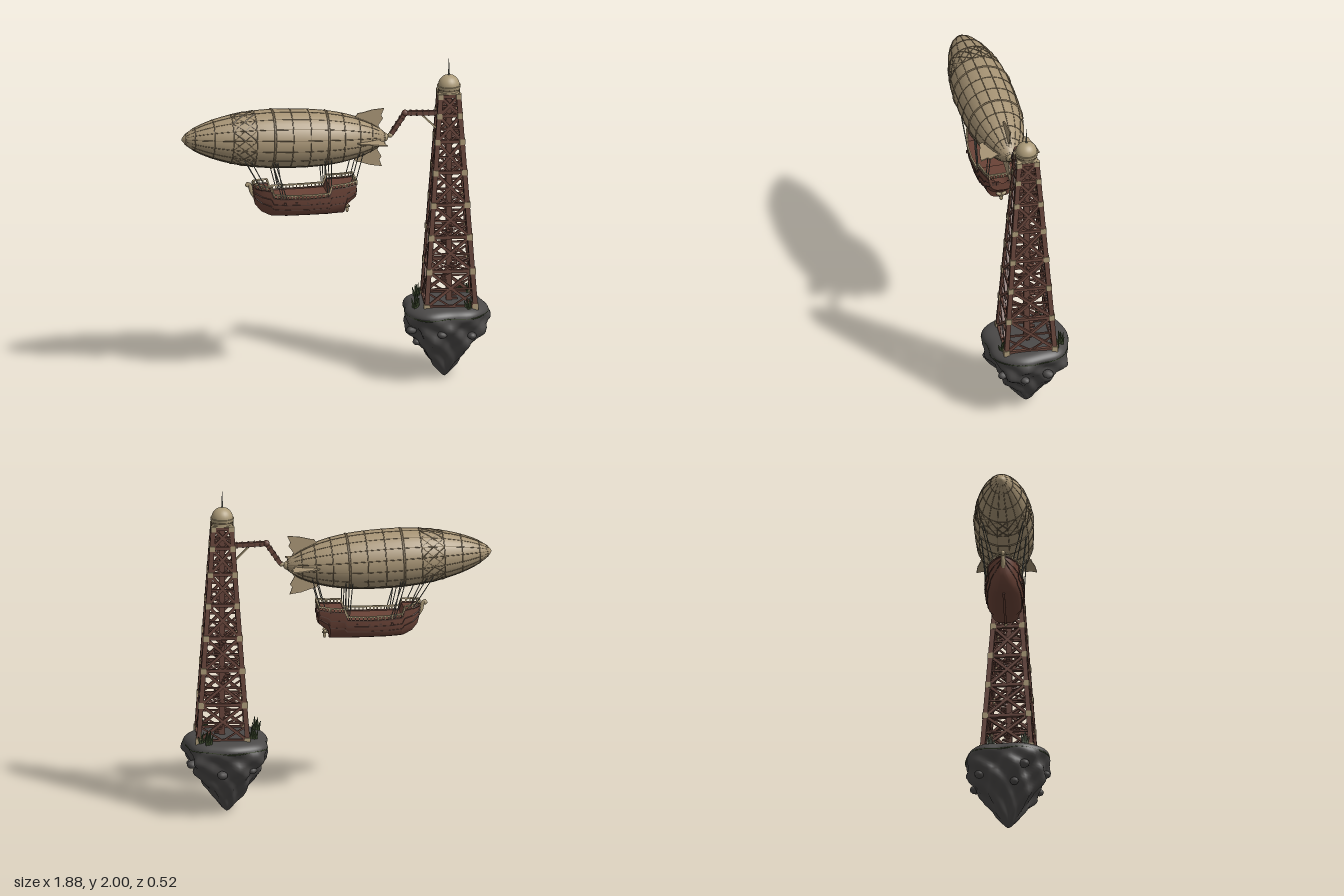
import * as THREE from 'three';
import { mergeGeometries, mergeVertices, toCreasedNormals } from 'three/addons/utils/BufferGeometryUtils.js';

const mat = (name, color, side = THREE.FrontSide) => Object.assign(new THREE.MeshStandardMaterial({ color, side }), { name });
const M = {
  canvas: mat('canvas tan', 0xa69374, THREE.DoubleSide),
  trim: mat('pale trim', 0xab9a78),
  rib: mat('brown rib', 0x7d6d54),
  wood: mat('red brown wood', 0x66443a),
  darkWood: mat('dark wood', 0x543a32),
  hull: mat('hull wood', 0x6a4337, THREE.DoubleSide),
  rope: mat('rope grey', 0x75766c),
  rock: mat('rock grey', 0x4b4948),
  grass: mat('moss green', 0x3d4a2d),
};
const V = (x, y, z) => new THREE.Vector3(x, y, z);
const UP = V(0, 1, 0);

// Joins many pieces into one named mesh
function part(parent, name, material, geos) {
  const list = geos.map((g) => {
    const n = g.index ? g.toNonIndexed() : g;
    n.deleteAttribute('uv');
    return n;
  });
  const mesh = new THREE.Mesh(mergeGeometries(list), material);
  mesh.name = name;
  parent.add(mesh);
  return mesh;
}
// Bar between two points: square, or round when sides is given
function bar(a, b, w, d = w, sides = 0) {
  const len = a.distanceTo(b);
  const g = sides ? new THREE.CylinderGeometry(w, d, len, sides) : new THREE.BoxGeometry(w, len, d);
  g.applyQuaternion(new THREE.Quaternion().setFromUnitVectors(UP, b.clone().sub(a).normalize()));
  return g.translate((a.x + b.x) / 2, (a.y + b.y) / 2, (a.z + b.z) / 2);
}
const box = (w, h, d, x, y, z) => new THREE.BoxGeometry(w, h, d).translate(x, y, z);
const ball = (r, x, y, z, n = 10) => new THREE.SphereGeometry(r, n, n * 0.7 | 0).translate(x, y, z);
// Skin over rows of points
function loft(rows, crease = 0.5) {
  const pos = [];
  for (let i = 0; i < rows.length - 1; i++) for (let j = 0; j < rows[i].length - 1; j++) {
    const [a, b, c, d] = [rows[i][j], rows[i + 1][j], rows[i + 1][j + 1], rows[i][j + 1]];
    for (const p of [a, b, c, a, c, d]) pos.push(p.x, p.y, p.z);
  }
  const g = new THREE.BufferGeometry();
  g.setAttribute('position', new THREE.Float32BufferAttribute(pos, 3));
  g.computeVertexNormals();
  return toCreasedNormals(g, crease);
}

// Envelope radius along its axis
function radius(x) {
  const front = x < -0.33;
  const u = Math.min(1, front ? (-0.33 - x) / 0.605 : (x + 0.33) / 0.65);
  return 0.178 * Math.pow(1 - Math.pow(u, front ? 2 : 2.6), front ? 0.66 : 0.68);
}
const skin = (x, a, off = 0.001) => V(x, Math.sin(a) * (radius(x) + off), Math.cos(a) * (radius(x) + off));
const AXIS_Y = 1.537;

function buildEnvelope() {
  const g = new THREE.Group();
  g.name = 'envelope';
  const prof = [];
  for (let i = 0; i <= 40; i++) {
    const x = -0.3075 - 0.6275 * Math.cos(Math.PI * i / 40);
    prof.push(new THREE.Vector2(radius(x), x));
  }
  part(g, 'gasBag', M.canvas, [new THREE.LatheGeometry(prof, 32).rotateZ(-Math.PI / 2)]);
  // Hoops, lengthwise battens and the crossed lattice band
  const ribs = [];
  const hoop = (x, t) => ribs.push(new THREE.TorusGeometry(radius(x), t, 5, 32).rotateY(Math.PI / 2).translate(x, 0, 0));
  for (const x of [-0.86, -0.75, -0.64, -0.5, -0.28, -0.17, 0.04, 0.14, 0.22]) hoop(x, 0.003);
  for (const x of [-0.39, -0.06]) hoop(x, 0.007);
  const N = 16, step = Math.PI * 2 / N;
  for (let k = 0; k < N; k++) {
    const a = (k + 0.5) * step, pts = [];
    for (let i = 0; i <= 20; i++) pts.push(skin(-0.915 + 1.22 * i / 20, a, 0));
    ribs.push(new THREE.TubeGeometry(new THREE.CatmullRomCurve3(pts), 36, 0.0025, 4));
    for (const x of [-0.64, -0.57]) for (const s of [0, 1])
      ribs.push(bar(skin(x, a + s * step), skin(x + 0.07, a + (1 - s) * step), 0.006));
  }
  part(g, 'envelopeRibs', M.rib, ribs);
  // Four tail fins
  const fin = new THREE.Shape([[0.1, 0.1], [0.135, 0.152], [0.16, 0.155], [0.225, 0.174], [0.295, 0.182], [0.278, 0.14], [0.29, 0.12],
    [0.262, 0.075], [0.29, 0.03], [0.2, 0.03]].map((p) => new THREE.Vector2(...p)));
  const fins = [];
  for (let k = 0; k < 4; k++)
    fins.push(new THREE.ExtrudeGeometry(fin, { depth: 0.008, bevelEnabled: false }).translate(0, 0, -0.004).rotateX(k * Math.PI / 2));
  part(g, 'tailFins', M.canvas, fins);
  part(g, 'noseAndTailCaps', M.trim, [ball(0.014, -0.922, 0, 0), ball(0.028, 0.3, 0, 0)]);
  g.position.y = AXIS_Y;
  g.rotation.z = -0.04;
  return g;
}

function buildShip() {
  const g = new THREE.Group();
  g.name = 'ship';
  // Stations: x, half width, deck height, keel height
  const S = [[-0.5, 0.012, 1.26, 1.2], [-0.485, 0.04, 1.255, 1.14], [-0.45, 0.068, 1.25, 1.1], [-0.4, 0.09, 1.245, 1.076],
    [-0.385, 0.094, 1.2, 1.074], [-0.3, 0.11, 1.195, 1.07], [-0.17, 0.118, 1.193, 1.07], [-0.05, 0.114, 1.198, 1.07],
    [-0.035, 0.113, 1.245, 1.07], [0.05, 0.102, 1.25, 1.072], [0.06, 0.1, 1.251, 1.115], [0.12, 0.088, 1.26, 1.165]];
  const at = ([x, w, t, k], a) => V(x, t - (t - k) * Math.sin(a), w * Math.sign(Math.cos(a)) * Math.pow(Math.abs(Math.cos(a)), 0.6));
  const row = (s) => Array.from({ length: 15 }, (_, j) => {
    const p = at(s, Math.PI * j / 14);
    return j === 7 ? p.setZ(0) : p;
  });
  const end = (s) => row([s[0], 0, (s[2] + s[3]) / 2, (s[2] + s[3]) / 2]);
  const last = S[S.length - 1];
  part(g, 'hull', M.hull, [loft([end(S[0]), ...S.map(row), end(last)].reverse())]);
  part(g, 'deck', M.hull, [loft(S.map(([x, w, t]) => [V(x, t - 0.003, w), V(x, t - 0.003, -w)]), 0.2)]);
  const wales = [], rails = [], ports = [];
  for (const s of [1, -1]) {
    for (let i = 0; i < S.length - 1; i++) {
      const [p, q] = [S[i], S[i + 1]];
      // Planking strips
      for (const f of [0.32, 0.62]) {
        const f1 = s > 0 ? f : Math.PI - f;
        wales.push(bar(at(p, f1), at(q, f1), 0.006));
      }
      wales.push(bar(V(p[0], p[2], s * p[1]), V(q[0], q[2], s * q[1]), 0.009));
      // Rails and posts around the deck
      const a = V(p[0], p[2] + 0.024, s * p[1]), b = V(q[0], q[2] + 0.024, s * q[1]);
      rails.push(bar(a, b, 0.009));
      const n = Math.max(1, Math.round((q[0] - p[0]) / 0.022));
      for (let j = 0; j < n; j++) {
        const c = a.clone().lerp(b, j / n);
        rails.push(box(0.007, 0.026, 0.007, c.x, c.y - 0.012, c.z));
      }
    }
    for (const x of [-0.32, -0.25, -0.18, -0.11]) ports.push(box(0.014, 0.014, 0.012, x, 1.168, s * 0.11));
    for (const z of [0.035, 0.06]) ports.push(box(0.008, 0.022, 0.018, 0.121, 1.22, s * z));
  }
  rails.push(bar(V(0.12, 1.284, -0.088), V(0.12, 1.284, 0.088), 0.009));
  for (let i = -4; i <= 4; i++) rails.push(box(0.007, 0.026, 0.007, 0.12, 1.272, i * 0.021));
  part(g, 'hullStrips', M.darkWood, wales);
  part(g, 'gunPorts', M.darkWood, ports);
  part(g, 'deckRails', M.trim, rails);
  part(g, 'keel', M.hull, [box(0.43, 0.01, 0.014, -0.165, 1.071, 0)]);
  // Curled figurehead at the bow
  const curl = new THREE.CatmullRomCurve3([V(-0.487, 1.19, 0), V(-0.508, 1.225, 0), V(-0.515, 1.255, 0), V(-0.528, 1.275, 0), V(-0.534, 1.262, 0)]);
  part(g, 'figurehead', M.trim, [new THREE.TubeGeometry(curl, 16, 0.013, 7), ball(0.014, -0.533, 1.266, 0)]);
  // Stern screw
  const blades = [0, 1, 2].map((k) => new THREE.SphereGeometry(0.02, 8, 6).scale(0.5, 1, 0.6).translate(0, 0.017, 0)
    .rotateX(Math.PI + k * Math.PI * 2 / 3).translate(0.076, 1.1, 0));
  part(g, 'propeller', M.trim, [bar(V(0.04, 1.1, 0), V(0.092, 1.1, 0), 0.006, 0.009, 8), ...blades]);
  // Hanging ropes
  const ropes = [];
  for (const s of [1, -1]) for (const [x, y, z, tx] of [[-0.46, 1.26, 0.06, -0.57], [-0.43, 1.26, 0.08, -0.53], [-0.34, 1.2, 0.105, -0.4],
    [-0.31, 1.2, 0.11, -0.385], [-0.33, 1.2, 0.106, -0.37], [-0.06, 1.2, 0.113, -0.08], [-0.05, 1.2, 0.113, -0.06], [-0.04, 1.22, 0.113, -0.04],
    [0.08, 1.26, 0.095, 0.13], [0.11, 1.27, 0.09, 0.16]]) {
    const r = radius(tx);
    ropes.push(bar(V(x, y, s * z), V(tx, AXIS_Y - 0.04 * tx - r * 0.64, s * r * 0.77), 0.003, 0.003, 5));
  }
  part(g, 'ropes', M.rope, ropes);
  return g;
}

function buildTower() {
  const g = new THREE.Group();
  g.name = 'tower';
  const half = (y) => 0.147 - 0.071 * (y - 0.48);
  const corner = (k, y) => {
    const a = Math.PI / 4 + k * Math.PI / 2, h = half(y) * Math.SQRT2;
    return V(Math.cos(a) * h, y, Math.sin(a) * h);
  };
  const L = [0.48, 0.7, 0.91, 1.11, 1.31, 1.5, 1.66, 1.78];
  const legs = [], braces = [], joints = [];
  for (let k = 0; k < 4; k++) {
    legs.push(bar(corner(k, 0.46), corner(k, 1.79), 0.029));
    for (let i = 0; i < L.length; i++) {
      const p = corner(k, L[i]), q = corner(k + 1, L[i]), s = 0.037 - i * 0.0007;
      joints.push(box(s, s, s, p.x, p.y, p.z));
      legs.push(bar(p, q, 0.02));
      if (i === L.length - 1) continue;
      // Crossed braces, half-height rung and knee pieces on each face
      const p2 = corner(k, L[i + 1]), q2 = corner(k + 1, L[i + 1]);
      const mid = p.clone().add(q).add(p2).add(q2).multiplyScalar(0.25);
      braces.push(bar(p, q2, 0.017), bar(q, p2, 0.017));
      braces.push(bar(p.clone().lerp(p2, 0.5), mid, 0.011), bar(q.clone().lerp(q2, 0.5), mid, 0.011));
      braces.push(bar(p.clone().lerp(q, 0.5), p.clone().lerp(p2, 0.4), 0.01), bar(p.clone().lerp(q, 0.5), q.clone().lerp(q2, 0.4), 0.01));
    }
  }
  for (const y of L.slice(1)) braces.push(bar(corner(0, y), corner(2, y), 0.01), bar(corner(1, y), corner(3, y), 0.01));
  part(g, 'towerFrame', M.wood, legs);
  part(g, 'towerBraces', M.wood, braces);
  part(g, 'towerJoints', M.trim, joints);
  // Central shaft with winding steps
  part(g, 'shaft', M.wood, [box(0.036, 1.31, 0.036, 0, 1.125, 0)]);
  const steps = [];
  for (let i = 0; i < 40; i++) steps.push(box(0.036, 0.008, 0.022, 0.032, 0, 0).rotateY(i * 0.4).translate(0, 0.49 + i * 0.016, 0));
  part(g, 'windingSteps', M.wood, steps);
  // Collar, dome and spire
  const cyl = (r0, r1, h, y) => new THREE.CylinderGeometry(r0, r1, h, 24).translate(0, y, 0);
  part(g, 'topPlatform', M.trim, [box(0.124, 0.014, 0.124, 0, 1.79, 0), cyl(0.06, 0.06, 0.024, 1.805)]);
  part(g, 'collarRing', M.rib, [cyl(0.068, 0.066, 0.008, 1.812)]);
  part(g, 'dome', M.trim, [cyl(0.072, 0.068, 0.018, 1.826),
    new THREE.SphereGeometry(0.065, 24, 10, 0, Math.PI * 2, 0, Math.PI / 2).translate(0, 1.835, 0)]);
  part(g, 'spire', M.rope, [cyl(0.001, 0.006, 0.11, 1.945)]);
  g.position.set(0.696, 0, 0.005);
  g.rotation.y = -0.08;
  return g;
}

function buildArm() {
  const g = new THREE.Group();
  g.name = 'mooringArm';
  const a = V(0.68, 1.66, 0), b = V(0.43, 1.668, -0.005), c = V(0.345, 1.54, -0.005), bands = [];
  part(g, 'armBeams', M.wood, [bar(a, b, 0.026), bar(b, c, 0.026)]);
  for (const [p, q, n] of [[a, b, 7], [b, c, 4]]) for (let i = 1; i < n; i++) {
    const m = p.clone().lerp(q, i / n), d = q.clone().sub(p).setLength(0.005);
    bands.push(bar(m.clone().sub(d), m.clone().add(d), 0.032));
  }
  part(g, 'armBands', M.darkWood, bands);
  part(g, 'armElbow', M.wood, [ball(0.021, b.x, b.y, b.z)]);
  part(g, 'armFittings', M.trim, [ball(0.016, 0.338, 1.535, 0), bar(V(0.53, 1.655, 0), V(0.625, 1.56, 0), 0.01),
    bar(V(0.305, 1.525, 0), c, 0.009, 0.009, 8)]);
  return g;
}

function buildRock() {
  const g = new THREE.Group();
  g.name = 'floatingRock';
  const rim = (a) => 1 - 0.05 * Math.cos(4 * a) + 0.03 * Math.sin(3 * a + 1) + 0.02 * Math.sin(7 * a);
  // Tapering stone with ridges that fade at tip and plateau
  const curve = new THREE.SplineCurve([[0, 0], [0.03, 0.025], [0.085, 0.1], [0.155, 0.2], [0.21, 0.28], [0.244, 0.36], [0.262, 0.42],
    [0.248, 0.455], [0.2, 0.477], [0.1, 0.482], [0, 0.482]].map((p) => new THREE.Vector2(...p)));
  let geo = new THREE.LatheGeometry(curve.getPoints(50).map((p) => p.setX(Math.max(0, p.x))), 64);
  const P = geo.attributes.position;
  for (let i = 0; i < P.count; i++) {
    const x = P.getX(i), y = P.getY(i), z = P.getZ(i), a = Math.atan2(z, x);
    const fade = Math.max(0, Math.min(1, (0.43 - y) / 0.08, y / 0.08));
    const bump = 0.09 * Math.sin(5 * a + 16 * y) + 0.06 * Math.sin(8 * a - 34 * y + 1) + 0.04 * Math.sin(11 * a + 45 * y);
    const k = rim(a) * (1 + fade * bump);
    P.setXYZ(i, x * k, Math.max(0, y), z * k);
  }
  geo.deleteAttribute('uv');
  geo.deleteAttribute('normal');
  geo = mergeVertices(geo, 1e-4);
  geo.computeVertexNormals();
  part(g, 'rockBody', M.rock, [geo]);
  // Boulders stuck to the flanks
  const lumps = [[-0.17, 0.235, 0.04, 0.03], [-0.215, 0.33, 0.1, 0.035], [0.14, 0.3, 0.18, 0.03], [-0.05, 0.33, 0.23, 0.03],
    [0.22, 0.32, -0.08, 0.035], [0.05, 0.28, -0.2, 0.035], [-0.13, 0.3, -0.17, 0.035], [0.21, 0.29, 0.06, 0.03]];
  part(g, 'boulders', M.rock, lumps.map(([x, y, z, r], i) => new THREE.IcosahedronGeometry(r, 1).scale(1, 0.75, 0.9).rotateY(i).translate(x, y, z)));
  // Moss line round the rim and grass tufts
  const loop = Array.from({ length: 48 }, (_, i) => {
    const a = i * Math.PI / 24, r = 0.26 * rim(a);
    return V(Math.cos(a) * r, 0.425 + 0.004 * Math.sin(5 * a), Math.sin(a) * r);
  });
  part(g, 'mossLine', M.grass, [new THREE.TubeGeometry(new THREE.CatmullRomCurve3(loop, true), 96, 0.004, 4, true)]);
  const blades = [];
  for (const [x, z, h] of [[-0.15, -0.11, 0.08], [0.13, -0.18, 0.08], [-0.19, 0.1, 0.075], [0.12, 0.17, 0.06], [0.165, -0.14, 0.06]])
    for (let i = 0; i < 7; i++) {
      const a = i * 2.4, l = 0.008 + 0.003 * i, k = h * (1 - 0.09 * i);
      blades.push(bar(V(x + Math.cos(a) * l * 0.6, 0.47, z + Math.sin(a) * l * 0.6), V(x + Math.cos(a) * l * 1.3, 0.48 + k, z + Math.sin(a) * l * 1.3), 0.002, 0.01, 5));
    }
  part(g, 'grassTufts', M.grass, blades);
  g.position.x = 0.668;
  return g;
}

export function createModel() {
  const model = new THREE.Group();
  model.name = 'mooredAirship';
  model.add(buildEnvelope(), buildShip(), buildTower(), buildArm(), buildRock());
  return model;
}
